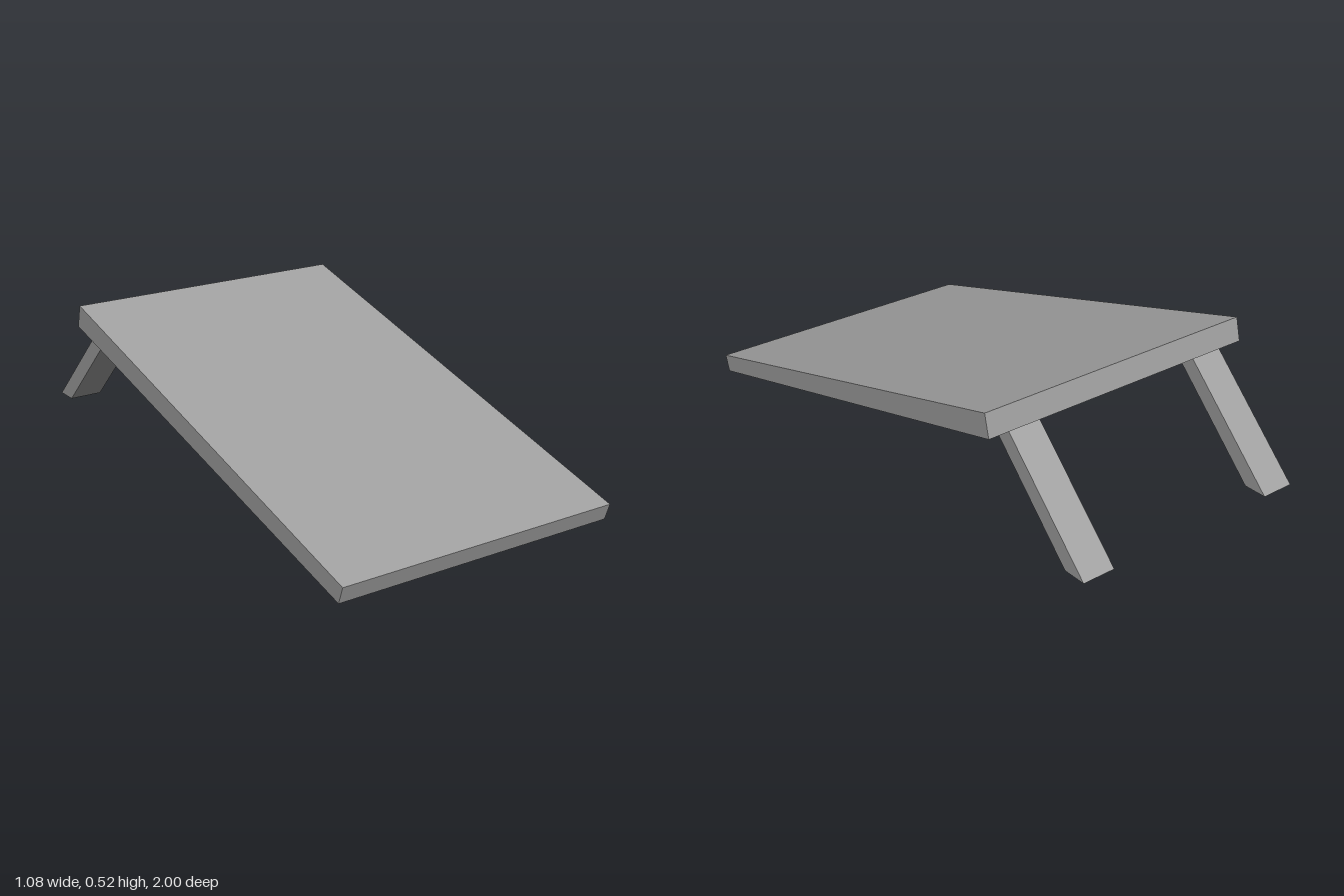
import * as THREE from 'three';

// Extrudes a [z, y] side profile across x, from x0 to x1
function slab(name, profile, x0, x1, material) {
  const shape = new THREE.Shape(profile.map(([z, y]) => new THREE.Vector2(-z, y)));
  const geometry = new THREE.ExtrudeGeometry(shape, { depth: x1 - x0, bevelEnabled: false });
  geometry.rotateY(Math.PI / 2);
  geometry.translate(x0, 0, 0);
  const mesh = new THREE.Mesh(geometry, material);
  mesh.name = name;
  return mesh;
}

export function createModel() {
  const grey = new THREE.MeshStandardMaterial({ color: 0xa0a0a0 });
  grey.name = 'grey';
  const model = new THREE.Group();
  model.name = 'slopedBoard';

  // Sloping board, slightly thicker at the raised end
  const board = [[0.98, 0], [1, 0.06], [-0.635, 0.52], [-0.655, 0.438]];
  model.add(slab('board', board, -0.538, 0.538, grey));

  // Slanted back legs with feet cut level
  const leg = [[-0.914, 0.067], [-1, 0.067], [-0.632, 0.435], [-0.565, 0.417]];
  model.add(slab('rightLeg', leg, -0.457, -0.334, grey));
  model.add(slab('leftLeg', leg, 0.326, 0.449, grey));

  return model;
}
